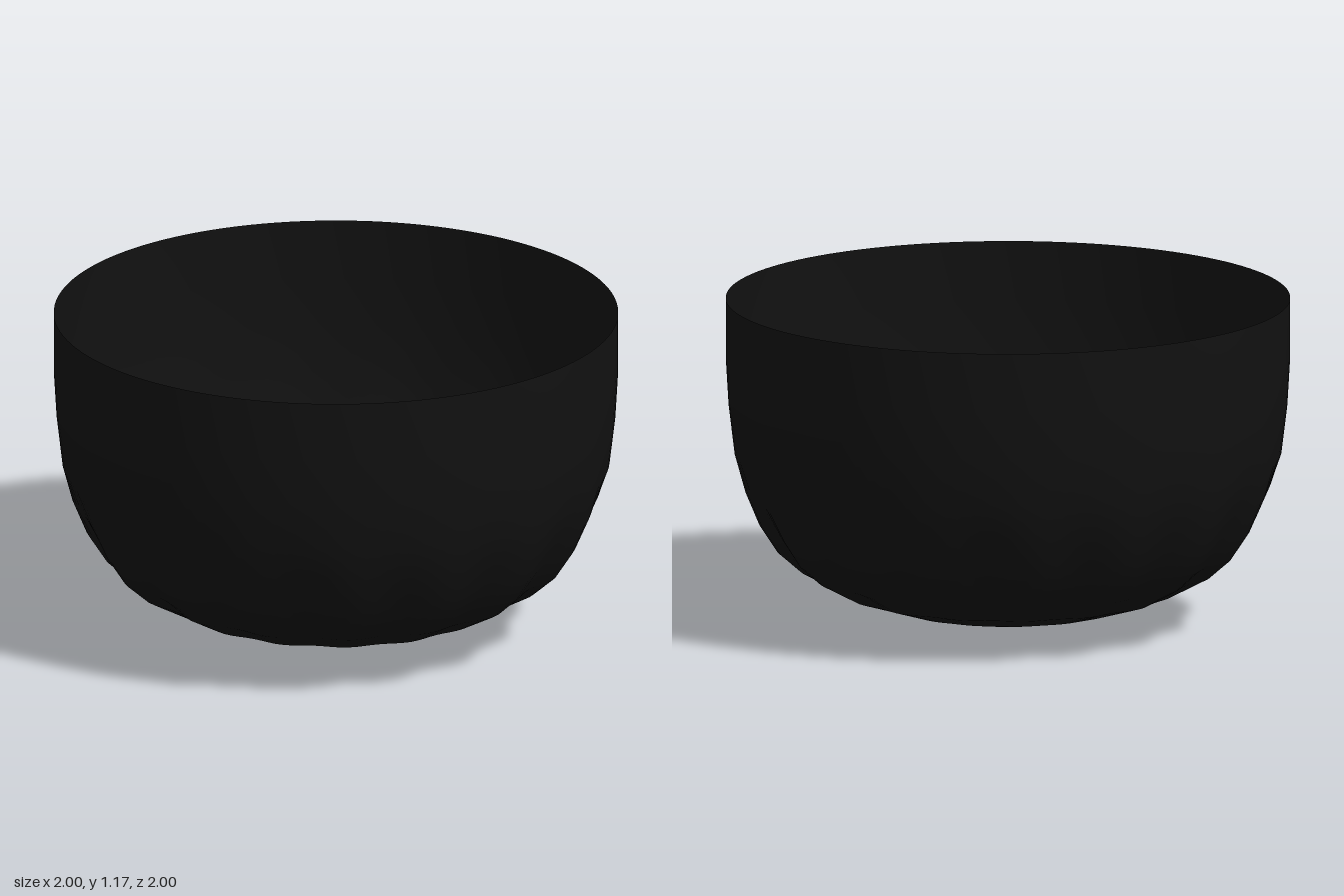
import * as THREE from 'three';
import { mergeVertices } from 'three/addons/utils/BufferGeometryUtils.js';

const LOBES = 16;
const DENT = 0.04;

export function createModel() {
  const group = new THREE.Group();
  group.name = 'bowl';

  // Outer profile from the pointed base up to the rim
  const profile = [
    [0, 0], [0.3, 0.045], [0.42, 0.07], [0.6, 0.125], [0.74, 0.2], [0.82, 0.27],
    [0.885, 0.37], [0.935, 0.49], [0.97, 0.62], [0.99, 0.79], [1, 0.96], [1, 1.175],
  ].map(([x, y]) => new THREE.Vector2(x, y));
  const geometry = new THREE.LatheGeometry(profile, 128);

  // Shallow scallops around the lower body, fading out at the base and wall
  const pos = geometry.attributes.position;
  for (let i = 0; i < pos.count; i++) {
    const x = pos.getX(i), y = pos.getY(i), z = pos.getZ(i);
    const fade = THREE.MathUtils.smoothstep(y, 0, 0.2) * (1 - THREE.MathUtils.smoothstep(y, 0.3, 0.65));
    const valley = (1 - Math.cos(LOBES * Math.atan2(z, x))) / 2;
    const scale = 1 - DENT * fade * valley;
    pos.setXYZ(i, x * scale, y, z * scale);
  }

  // Weld the seam so the shading is continuous
  geometry.deleteAttribute('normal');
  geometry.deleteAttribute('uv');
  const welded = mergeVertices(geometry, 1e-4);
  welded.computeVertexNormals();

  const shell = new THREE.Mesh(
    welded,
    new THREE.MeshStandardMaterial({ color: 0x111111, side: THREE.DoubleSide })
  );
  shell.name = 'bowlShell';
  group.add(shell);
  return group;
}
